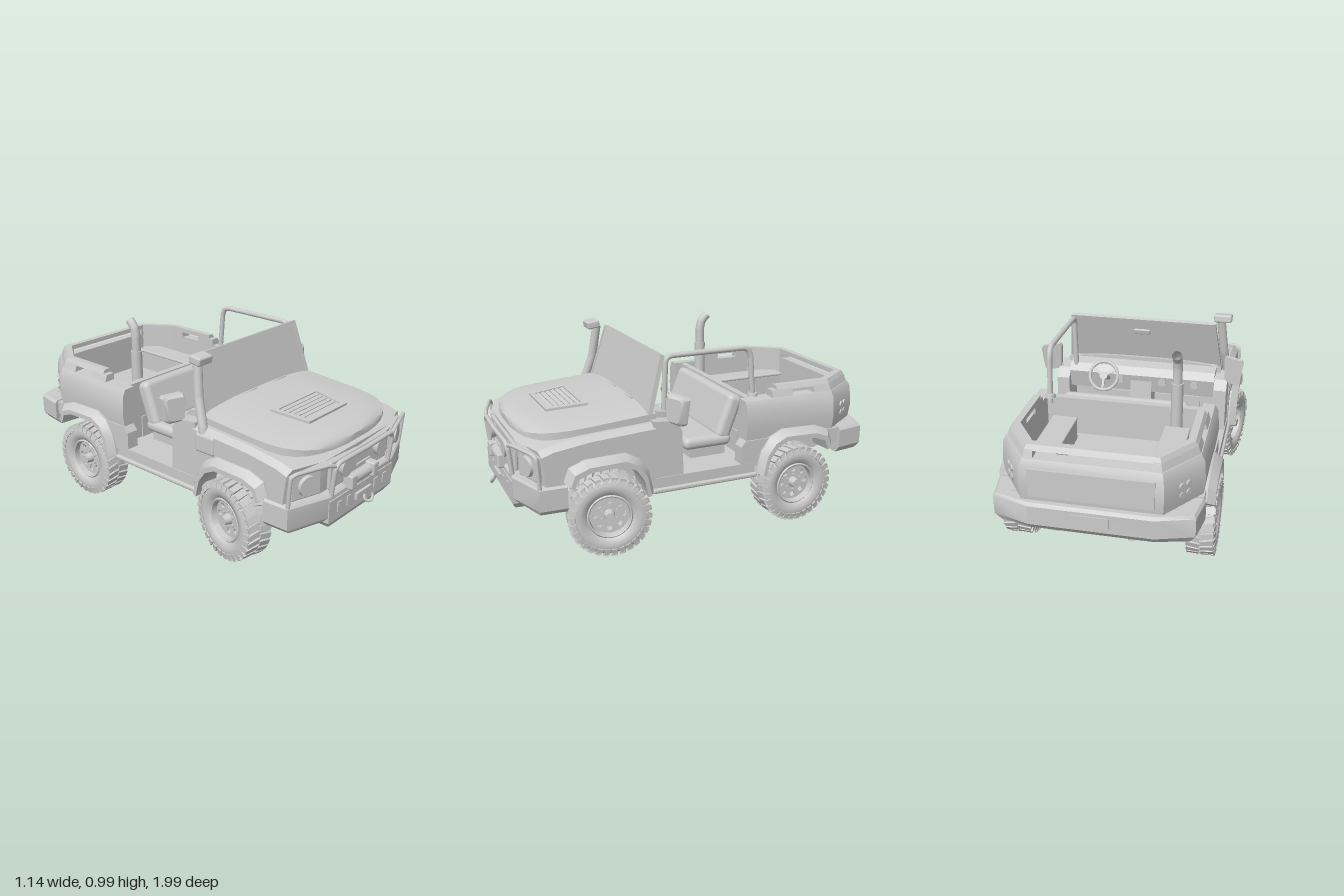
import * as THREE from 'three';
import { toCreasedNormals, mergeGeometries } from 'three/addons/utils/BufferGeometryUtils.js';
import { RoundedBoxGeometry } from 'three/addons/geometries/RoundedBoxGeometry.js';

const grey = new THREE.MeshStandardMaterial({ color: 0xcccccc });
const greyOpen = new THREE.MeshStandardMaterial({ color: 0xcccccc, side: THREE.DoubleSide });
const V = (p) => new THREE.Vector3(...p), V2 = (p) => new THREE.Vector2(...p);

function add(parent, name, geo, pos = [0, 0, 0], rot = [0, 0, 0], mat = grey) {
  const m = new THREE.Mesh(geo, mat);
  m.name = name;
  m.position.set(...pos);
  m.rotation.set(...rot);
  parent.add(m);
}
function group(parent, name, pos, rx = 0, ry = 0) {
  const g = new THREE.Group();
  g.name = name;
  g.position.set(...pos);
  g.rotation.set(rx, ry, 0);
  parent.add(g);
  return g;
}
const box = (w, h, d) => new THREE.BoxGeometry(w, h, d);
const round = (w, h, d, r) => new RoundedBoxGeometry(w, h, d, 3, r);
const cylY = (r, l, n = 20, r2 = r) => new THREE.CylinderGeometry(r, r2, l, n);
const cylX = (...a) => cylY(...a).rotateZ(-Math.PI / 2);
const cylZ = (...a) => cylY(...a).rotateX(Math.PI / 2);
const plate = (shape, depth) => new THREE.ExtrudeGeometry(shape, { depth, bevelEnabled: false, curveSegments: 20 });
const trapezoid = (b, t, y0, y1) => [[-b, y0], [b, y0], [t, y1], [-t, y1]].map(V2);
function tube(parent, name, pts, r) {
  const curve = new THREE.CatmullRomCurve3(pts.map(V), false, 'catmullrom', 0.15);
  add(parent, name, new THREE.TubeGeometry(curve, pts.length * 8, r, 12), undefined, undefined, greyOpen);
}

// Skin over a list of equal-length closed rings, capped at both ends, faces turned outward
function loft(rings, rule, crease = 0.5) {
  const n = rings[0].length, pos = rings.flat().map(V), tri = [];
  for (let i = 0; i < rings.length - 1; i++) for (let j = 0; j < n; j++) {
    const a = i * n + j, b = i * n + (j + 1) % n;
    tri.push([a, b, a + n], [b, b + n, a + n]);
  }
  for (const start of [0, (rings.length - 1) * n]) {
    const c = new THREE.Vector3(), k = pos.length;
    for (let j = 0; j < n; j++) {
      const a = start + j, b = start + (j + 1) % n;
      c.addScaledVector(pos[a], 1 / n);
      tri.push(start ? [a, b, k] : [b, a, k]);
    }
    pos.push(c);
  }
  if (rule) pos.forEach(rule);
  let vol = 0;
  for (const [a, b, c] of tri) vol += pos[a].dot(pos[b].clone().cross(pos[c]));
  const g = new THREE.BufferGeometry().setFromPoints(pos);
  g.setIndex(tri.flatMap(([a, b, c]) => (vol < 0 ? [a, c, b] : [a, b, c])));
  return toCreasedNormals(g, crease);
}

// Side outline of (z, y) points, extruded across x between x0 and x1
function sideExtrude(pts, x0, x1, steps = 1, rule = () => {}) {
  const g = new THREE.ExtrudeGeometry(new THREE.Shape(pts.map(V2)), { depth: x1 - x0, steps, bevelEnabled: false });
  g.rotateY(-Math.PI / 2).translate(x1, 0, 0);
  const p = g.attributes.position, v = new THREE.Vector3();
  for (let i = 0; i < p.count; i++) {
    rule(v.fromBufferAttribute(p, i));
    p.setXYZ(i, v.x, v.y, v.z);
  }
  return toCreasedNormals(g, 0.5);
}

// Wall following a plan path: path rows are [x, z, inward x, inward z], section rows are [inset, y]
const wall = (path, section) => loft(path.map(([x, z, nx, nz]) => section.map(([d, y]) => [x + nx * d, y, z + nz * d])));
const flipPath = (path) => path.map(([x, z, nx, nz]) => [-x, z, -nx, nz]);
const mirrorPath = (half) => [...half, ...flipPath(half).reverse()];

// The nose sweeps back towards its corners
const nose = (v) => { if (v.z > 0.78) v.z -= Math.max(0, Math.abs(v.x) - 0.28) * 0.32; };

function makeWheel(w) {
  const prof = [[.098, -.055], [.112, -.06], [.145, -.07], [.175, -.069], [.19, -.058], [.195, 0], [.19, .058],
    [.175, .069], [.145, .07], [.118, .062], [.112, .054], [.106, .06], [.1, .057], [.096, .02], [.098, -.055]];
  add(w, 'tire', toCreasedNormals(new THREE.LatheGeometry(prof.map(V2), 48).rotateZ(-Math.PI / 2), 0.7));
  const lugs = [], turn = Math.PI * 2;
  for (const s of [-1, 1]) for (let i = 0; i < 30; i++) {
    const a = ((i + (s > 0 ? 0.5 : 0)) / 30) * turn;
    lugs.push(box(.066, .014, .029).rotateY(s * 0.2).translate(s * .034, .196, 0).rotateX(a));
    lugs.push(box(.01, .03, .026).rotateZ(s * 0.25).translate(s * .066, .18, 0).rotateX(a));
  }
  add(w, 'treadLugs', mergeGeometries(lugs));
  const disc = new THREE.Shape().absarc(0, 0, .1, 0, turn);
  for (let i = 0; i < 8; i++)
    disc.holes.push(new THREE.Path().absarc(Math.cos(i / 8 * turn) * .07, Math.sin(i / 8 * turn) * .07, .014, 0, turn, true));
  add(w, 'rimDisc', plate(disc, .012).rotateY(Math.PI / 2), [.015, 0, 0]);
  add(w, 'brakeDrum', cylX(.085, .03, 28), [-.03, 0, 0]);
  add(w, 'hub', cylX(.022, .05, 16, .03), [.04, 0, 0]);
  for (let i = 0; i < 6; i++) add(w, 'wheelNut', cylX(.006, .014, 6), [.032, Math.cos(i / 6 * turn) * .042, Math.sin(i / 6 * turn) * .042]);
}

export function createModel() {
  const car = new THREE.Group(), sides = [1, -1];
  car.name = 'offRoadPickup';

  // Front body with wheel arches, fender deck and hood
  add(car, 'frontBody', sideExtrude([[.88, .38], [.9, .54], [.27, .54], [.27, .33], [.31, .33], [.36, .42], [.42, .455],
    [.61, .455], [.67, .42], [.73, .37], [.8, .36]], -.485, .485, 14, nose));
  add(car, 'fenderDeck', loft([[.27, .63], [.6, .61], [.84, .585], [.9, .565]].map(([z, h]) => [[-.485, .53, z], [-.485, h - .025, z],
    [-.455, h, z], [-.28, h, z], [.28, h, z], [.455, h, z], [.485, h - .025, z], [.485, .53, z], [.28, .53, z], [-.28, .53, z]]), nose));
  const hood = [0, .2, .4, .55, .68, .78, .86, .91, .95, .98, .996].map((t) => {
    const w = .435 * (1 - t ** 8) ** .45, z = .25 + t * .64, h = .692 - .05 * t - .03 * t ** 14, low = .62 - .04 * t, ring = [];
    for (let i = -6; i <= 6; i++) ring.push([w * i / 6, h - .025 * Math.abs(i / 6) ** 3, z]);
    return [[-w, low, z], ...ring, [w, low, z]];
  });
  add(car, 'hood', loft(hood, undefined, 0.7));

  // Hood louvre
  const vent = group(car, 'hoodLouvre', [0, .668, .615], .08), ventShape = new THREE.Shape(trapezoid(.16, .19, -.105, .105));
  ventShape.holes.push(new THREE.Path(trapezoid(.135, .16, -.08, .08)));
  add(vent, 'louvreFrame', plate(ventShape, .012).rotateX(-Math.PI / 2), [0, -.004, 0]);
  for (let i = 0; i < 6; i++) add(vent, 'louvreSlat', box(.3 - i * .008, .006, .018), [0, .002, -.066 + i * .027], [.3, 0, 0]);

  // Grille, lights and winch
  add(car, 'grille', round(.5, .14, .02, .008), [0, .475, .9]);
  for (const s of sides) {
    add(car, 'headlightPanel', round(.17, .13, .02, .008), [s * .385, .475, .866], [0, s * .31, 0]);
    add(car, 'headlight', cylZ(.048, .03, 28, .054), [s * .385, .475, .878], [0, s * .31, 0]);
    add(car, 'spotlight', cylZ(.045, .03, 28, .036), [s * .15, .495, .925]);
    add(car, 'winchEnd', round(.05, .075, .07, .01), [s * .095 - .015, .41, .925]);
  }
  add(car, 'winchDrum', cylX(.028, .2), [-.015, .41, .925]);
  add(car, 'winchRod', cylX(.006, .11, 8), [0, .475, .93]);

  // Front bumper, skid plate, bull bar and hook
  const fPath = mirrorPath([[.5, .72, -1, 0], [.495, .855, -1, -.25], [.28, .93, -.2, -1]]);
  add(car, 'frontBumper', wall(fPath, [[.02, .257], [0, .28], [0, .385], [.01, .395], [.08, .395], [.08, .257]]));
  add(car, 'bumperCentre', loft([[.28, .365, .935], [.28, .25, .935], [.25, .216, .915]].map(([x, y, z]) =>
    [[-x, y, z], [x, y, z], [x, y, .72], [-x, y, .72]])));
  for (const x of [-.2, -.12, .12, .2]) add(car, 'bumperTab', box(.03, .05, .012), [x, .315, .935]);
  tube(car, 'bullBar', [[-.25, .37, .92], [-.25, .52, .935], [-.22, .55, .94], [0, .552, .945], [.22, .55, .94], [.25, .52, .935], [.25, .37, .92]], .012);
  for (const s of sides)
    tube(car, 'bullBarWing', [[s * .25, .54, .935], [s * .3, .555, .925], [s * .46, .558, .875], [s * .488, .54, .86], [s * .488, .39, .85]], .01);
  add(car, 'hookMount', box(.13, .035, .02), [0, .31, .94]);
  add(car, 'towHook', new THREE.TorusGeometry(.022, .008, 8, 16, 4.6).rotateY(.7), [.01, .292, .967], [0, 0, 2.4]);

  // Fender flares, inner wheel wells and wheels; the front pair is steered
  const arch = [[.225, .205], [.2, .27], [.12, .3], [-.08, .305], [-.15, .27], [-.2, .2], [-.225, .09]];
  for (const f of [1, -1]) {
    add(car, 'wheelWell', box(.64, .16, .5), [0, .39, f * .51]);
    for (const s of sides) {
      const at = ([dz, dy], x, k) => [s * x, .205 + dy * k, f * (.512 + dz * k)];
      add(car, 'fenderFlare', loft(arch.map((p) => [at(p, .4, 1), at(p, .492, 1), at(p, .53, .9), at(p, .53, .82), at(p, .4, .8)])));
      makeWheel(group(car, f > 0 ? 'frontWheel' : 'rearWheel', [s * .462, .207, f * .512], 0, (s > 0 ? 0 : Math.PI) - (f > 0 ? .2 : 0)));
    }
  }

  // Cab floor, rockers, door posts and dashboard
  add(car, 'cabFloor', box(.92, .03, .58), [0, .335, -.01]);
  add(car, 'underTray', box(.7, .03, 1.0), [0, .29, 0]);
  add(car, 'frontTray', box(.5, .03, .3), [0, .3, .65]);
  for (const s of sides) {
    add(car, 'rocker', box(.07, .07, .56), [s * .45, .315, 0]);
    add(car, 'sideStep', round(.05, .025, .58, .01), [s * .475, .285, 0]);
    add(car, 'doorPost', sideExtrude([[.28, .33], [.28, .64], [.17, .63], [.13, .58], [.12, .33]], s * .445 - .035, s * .445 + .035));
    add(car, 'chassisRail', box(.05, .05, 1.7), [s * .2, .3, -.05]);
  }
  add(car, 'dashboard', sideExtrude([[.28, .5], [.28, .675], [.18, .66], [.15, .62], [.17, .52]], -.41, .41));
  add(car, 'console', sideExtrude([[.28, .34], [.28, .62], [.16, .62], [.13, .34]], -.06, .06));
  for (const x of [-.3, -.12, .12]) add(car, 'dashVent', cylZ(.022, .02, 16), [x, .59, .155]);
  const steer = group(car, 'steeringWheel', [.19, .645, .06], .49);
  add(steer, 'wheelRing', new THREE.TorusGeometry(.078, .009, 10, 32));
  add(steer, 'wheelHub', cylZ(.022, .02, 16));
  for (let i = 0; i < 3; i++) add(steer, 'spoke', box(.012, .07, .008).translate(0, .038, 0), [0, 0, 0], [0, 0, Math.PI + i * 2.094]);
  add(steer, 'steeringColumn', cylZ(.014, .14, 12), [0, 0, .075]);

  // Bench seat
  add(car, 'seatBase', box(.6, .07, .2), [0, .38, -.1]);
  add(car, 'seatCushion', round(.67, .065, .27, .03), [0, .435, -.09]);
  add(car, 'seatBack', round(.66, .25, .085, .032), [0, .55, -.215], [-.36, 0, 0]);

  // Windshield
  const shield = group(car, 'windshield', [0, .655, .28], -.274), frame = new THREE.Shape(trapezoid(.435, .4, 0, .298));
  frame.holes.push(new THREE.Path(trapezoid(.416, .385, .014, .286)));
  add(shield, 'windshieldFrame', plate(frame, .024), [0, 0, -.012]);
  add(shield, 'windshieldPane', plate(new THREE.Shape(trapezoid(.42, .389, .01, .29)), .008));
  add(shield, 'rearViewMirror', round(.09, .032, .014, .006), [0, .235, -.035]);
  for (const x of [-.12, .12]) add(shield, 'wiper', box(.2, .008, .01), [x, .025, .018], [0, 0, .06]);

  // Mirrors, snorkel, roll bar and exhaust stack
  const mirror = [[.48, .622], [.535, .618], [.55, .632], [.565, .75], [.555, .764], [.47, .768], [.46, .755], [.466, .635]];
  for (const s of sides) {
    add(car, 'sideMirror', loft([[-.02, 1], [.006, 1], [.024, .8]].map(([dz, k]) => mirror.map(([x, y]) =>
      [s * (.513 + (x - .513) * k), .695 + (y - .695) * k, .168 + dz - (x - .513) * .4]))));
    tube(car, 'mirrorArm', [[s * .43, .59, .2], [s * .46, .62, .19], [s * .5, .65, .17]], .012);
  }
  tube(car, 'snorkelPipe', [[-.47, .52, .34], [-.465, .62, .32], [-.445, .76, .275], [-.425, .94, .25]], .024);
  add(car, 'snorkelHead', round(.096, .042, .07, .01), [-.432, .95, .278], [.15, 0, 0]);
  add(car, 'snorkelBase', round(.04, .1, .12, .015), [-.475, .55, .35]);
  tube(car, 'rollBar', [[.38, .6, .185], [.38, .78, .18], [.38, .905, .175], [.38, .93, .145], [.38, .932, -.24], [.38, .92, -.28], [.38, .88, -.295], [.38, .64, -.315]], .014);
  add(car, 'rollBarFoot', cylY(.024, .02, 16, .028), [.38, .682, -.312]);
  add(car, 'stackMuffler', cylY(.03, .38, 24), [-.28, .63, -.33]);
  tube(car, 'stackPipe', [[-.28, .8, -.33], [-.28, .9, -.33], [-.28, .94, -.338], [-.28, .962, -.353], [-.28, .98, -.372]], .024);

  // Rear tub: wall, lower panels, floor, benches and lights
  const corner = [[.485, -.75, -1, .323], [.33, -.968, -.51, 1]];
  const tub = mirrorPath([[.485, -.23, -1, 0], ...corner]);
  add(car, 'tubWall', wall(tub, [[.01, .4575], [0, .54], [.008, .64], [.025, .672], [.085, .675], [.085, .4575]]));
  for (const s of sides) {
    add(car, 'rearSidePanel', sideExtrude([[-.2, .33], [-.2, .44], [-.225, .47], [-.78, .47], [-.78, .4], [-.73, .37], [-.67, .42],
      [-.61, .455], [-.42, .455], [-.35, .42], [-.3, .33]], s * .45 - .034, s * .45 + .034));
    add(car, 'bedBench', box(.12, .12, .5), [s * .29, .52, -.61]);
    add(car, 'benchTop', round(.13, .015, .51, .006), [s * .29, .585, -.61]);
    for (const y of [.53, .575]) for (const d of [-.022, .022])
      add(car, 'tailLight', cylZ(.016, .014, 18), [s * (.406 + d * .585), y, -.858 + d * .81], [0, s * -.946, 0]);
  }
  add(car, 'bedFloor', box(.8, .03, .62), [0, .455, -.59]);
  add(car, 'bedFrontWall', box(.86, .33, .035), [0, .505, -.285]);
  add(car, 'tailgate', box(.58, .14, .014), [0, .565, -.965]);

  // Raised rail around the tub, with slots below its bar
  add(car, 'topRail', wall(mirrorPath([[.485, -.42, -1, 0], ...corner]), [[.04, .705], [.055, .73], [.09, .73], [.09, .705]]));
  for (const path of [[[.485, -.39, -1, 0], [.485, -.51, -1, 0]], [[.485, -.64, -1, 0], ...corner, [.27, -.968, 0, 1]]])
    for (const p of [path, flipPath(path)]) add(car, 'railBlock', wall(p, [[.026, .665], [.042, .71], [.09, .71], [.09, .665]]));

  // Rear bumper and tow gear
  const rPath = mirrorPath([[.495, -.79, -1, 0], [.47, -.94, -.9, .4], [.29, -.995, -.2, 1]]);
  add(car, 'rearBumper', wall(rPath, [[.03, .325], [0, .36], [0, .455], [.012, .47], [.09, .47], [.09, .325]]));
  add(car, 'plateRecess', box(.18, .06, .012), [0, .41, -.994]);
  add(car, 'rearValance', box(.7, .03, .22), [0, .37, -.86]);
  add(car, 'towReceiver', box(.05, .04, .16), [0, .305, -.82]);
  for (const s of sides) add(car, 'towEye', box(.025, .05, .1), [s * .18, .305, -.86]);

  // Axles, differentials, springs and driveshaft
  for (const f of [1, -1]) {
    const z = f * .512, zr = z + f * .06;
    add(car, 'axle', cylX(.016, .8), [0, .205, z]);
    add(car, 'differential', cylZ(.05, .1, 8, .05), [-.01, .19, z], [0, 0, Math.PI / 8]);
    for (const s of sides) add(car, 'axleCone', cylY(.018, .09, 16, .045), [s * .085 - .01, .2, z], [0, 0, s * -Math.PI / 2]);
    tube(car, 'tieRod', [[-.38, .2, zr], [-.33, .17, zr], [-.2, .135, zr], [.2, .135, zr], [.33, .17, zr], [.38, .2, zr]], .007);
    for (const s of sides) {
      tube(car, 'leafSpring', [[s * .32, .3, z - .2], [s * .32, .225, z - .08], [s * .32, .225, z + .08], [s * .32, .3, z + .2]], .01);
      add(car, 'damper', cylY(.016, .2, 12), [s * .335, .29, z - f * .05], [f * -.2, 0, 0]);
    }
  }
  add(car, 'driveshaft', cylZ(.017, 1.0, 16), [.02, .21, 0]);
  add(car, 'transferCase', cylZ(.034, .13, 20), [.02, .205, -.16]);
  tube(car, 'tailPipe', [[-.15, .27, -.3], [-.15, .28, -.7], [-.17, .28, -.9]], .016);
  return car;
}
